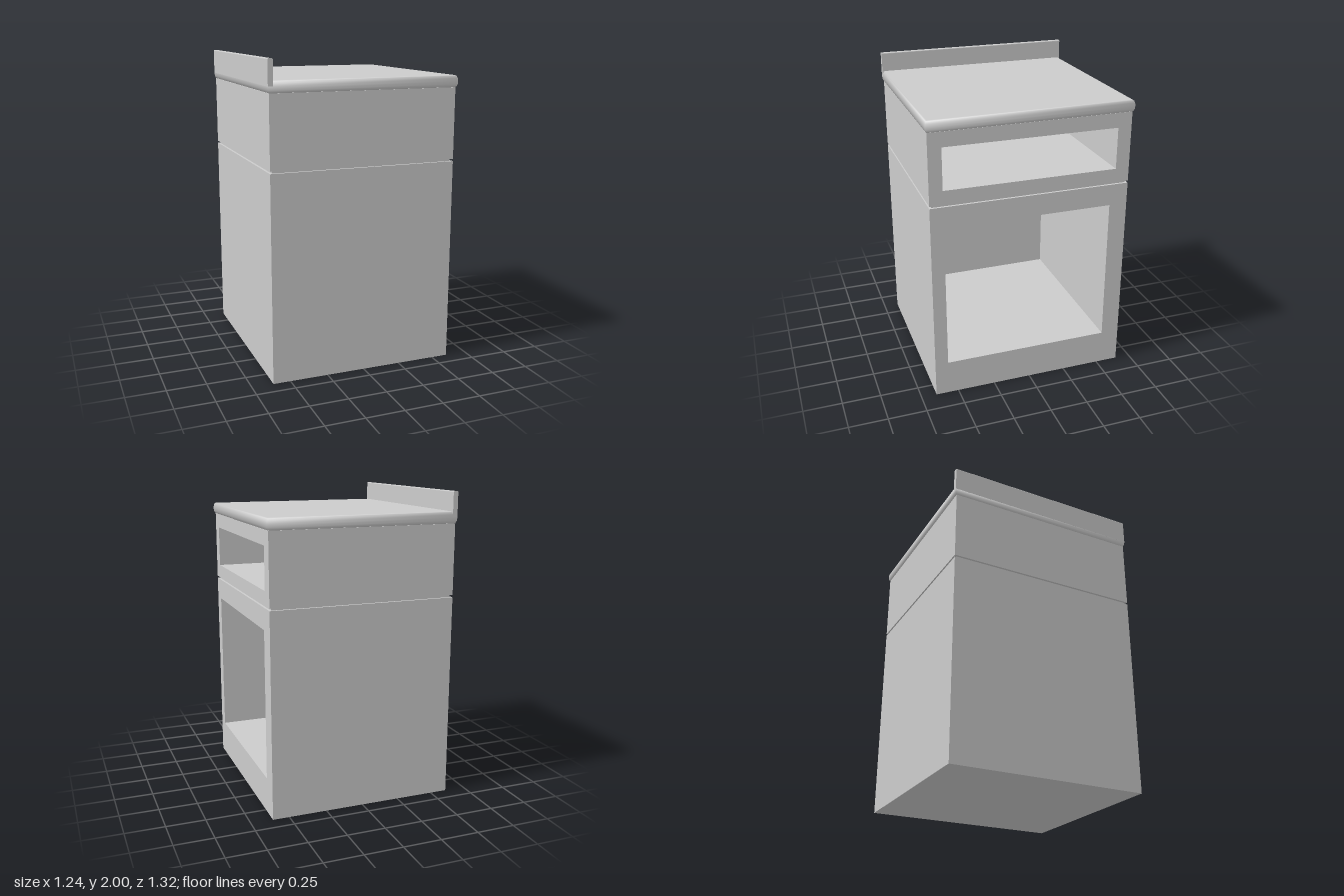
import * as THREE from 'three';

const grey = new THREE.MeshStandardMaterial({ color: 0xcccccc });

function add(parent, name, geometry) {
  const mesh = new THREE.Mesh(geometry, grey);
  mesh.name = name;
  parent.add(mesh);
  return mesh;
}

function box(parent, name, x0, x1, y0, y1, z0, z1) {
  const mesh = add(parent, name, new THREE.BoxGeometry(x1 - x0, y1 - y0, z1 - z0));
  mesh.position.set((x0 + x1) / 2, (y0 + y1) / 2, (z0 + z1) / 2);
}

// Carcass open on +x: an extruded frame around the compartment plus a back panel.
function compartment(name, y0, y1, hole) {
  const group = new THREE.Group();
  group.name = name;
  const left = -0.612, inner = -0.55, right = 0.608, halfZ = 0.65;
  const rect = (path, a, b, c, d) => path.moveTo(a, b).lineTo(c, b).lineTo(c, d).lineTo(a, d).closePath();
  const shape = rect(new THREE.Shape(), -halfZ, y0, halfZ, y1);
  // shape x runs along -z once the extrusion is turned to face +x
  shape.holes.push(rect(new THREE.Path(), -hole.z1, hole.y0, -hole.z0, hole.y1));
  const frame = new THREE.ExtrudeGeometry(shape, { depth: right - inner, bevelEnabled: false });
  frame.rotateY(Math.PI / 2).translate(inner, 0, 0);
  add(group, name + 'Frame', frame);
  box(group, name + 'BackPanel', left, inner, y0, y1, -halfZ, halfZ);
  return group;
}

// Slab with a mitred, rounded rim made of stacked rectangles; shared corners keep it smooth.
function roundedSlab(rings) {
  const positions = [], index = [];
  for (const [x, y, z] of rings) {
    positions.push(-x, y, z, x, y, z, x, y, -z, -x, y, -z);
  }
  for (let r = 0; r < rings.length - 1; r++) {
    for (let i = 0; i < 4; i++) {
      const a = r * 4 + i, b = r * 4 + (i + 1) % 4;
      index.push(a, b, b + 4, a, b + 4, a + 4);
    }
  }
  const t = (rings.length - 1) * 4;
  index.push(0, 2, 1, 0, 3, 2, t, t + 1, t + 2, t, t + 2, t + 3);
  const g = new THREE.BufferGeometry();
  g.setAttribute('position', new THREE.Float32BufferAttribute(positions, 3));
  g.setIndex(index);
  g.computeVertexNormals();
  return g;
}

export function createModel() {
  const model = new THREE.Group();
  model.name = 'cabinet';

  // Cupboard, shadow gap and drawer bay
  model.add(compartment('cupboard', 0, 1.33, { y0: 0.23, y1: 1.19, z0: -0.53, z1: 0.565 }));
  box(model, 'shadowGap', -0.597, 0.593, 1.33, 1.345, -0.635, 0.635);
  model.add(compartment('drawerBay', 1.345, 1.8, { y0: 1.435, y1: 1.705, z0: -0.56, z1: 0.565 }));

  // Worktop with bullnose rim
  const rings = [], steps = 6, y0 = 1.8, y1 = 1.875;
  for (let i = 0; i <= steps; i++) {
    const a = Math.PI * (i / steps - 0.5);
    const out = 0.014 * Math.cos(a);
    rings.push([0.606 + out, (y0 + y1) / 2 + (y1 - y0) / 2 * Math.sin(a), 0.646 + out]);
  }
  add(model, 'worktop', roundedSlab(rings));

  // Upstand along the -x edge, with eased top corners
  const r = 0.006, xa = -0.62, xb = -0.588;
  const profile = new THREE.Shape();
  profile.moveTo(xa, 1.84).lineTo(xb, 1.84).lineTo(xb, 2 - r);
  profile.quadraticCurveTo(xb, 2, xb - r, 2).lineTo(xa + r, 2);
  profile.quadraticCurveTo(xa, 2, xa, 2 - r).closePath();
  const upstand = new THREE.ExtrudeGeometry(profile, { depth: 1.32, bevelEnabled: false, curveSegments: 4 });
  upstand.translate(0, 0, -0.66);
  add(model, 'upstand', upstand);

  return model;
}
